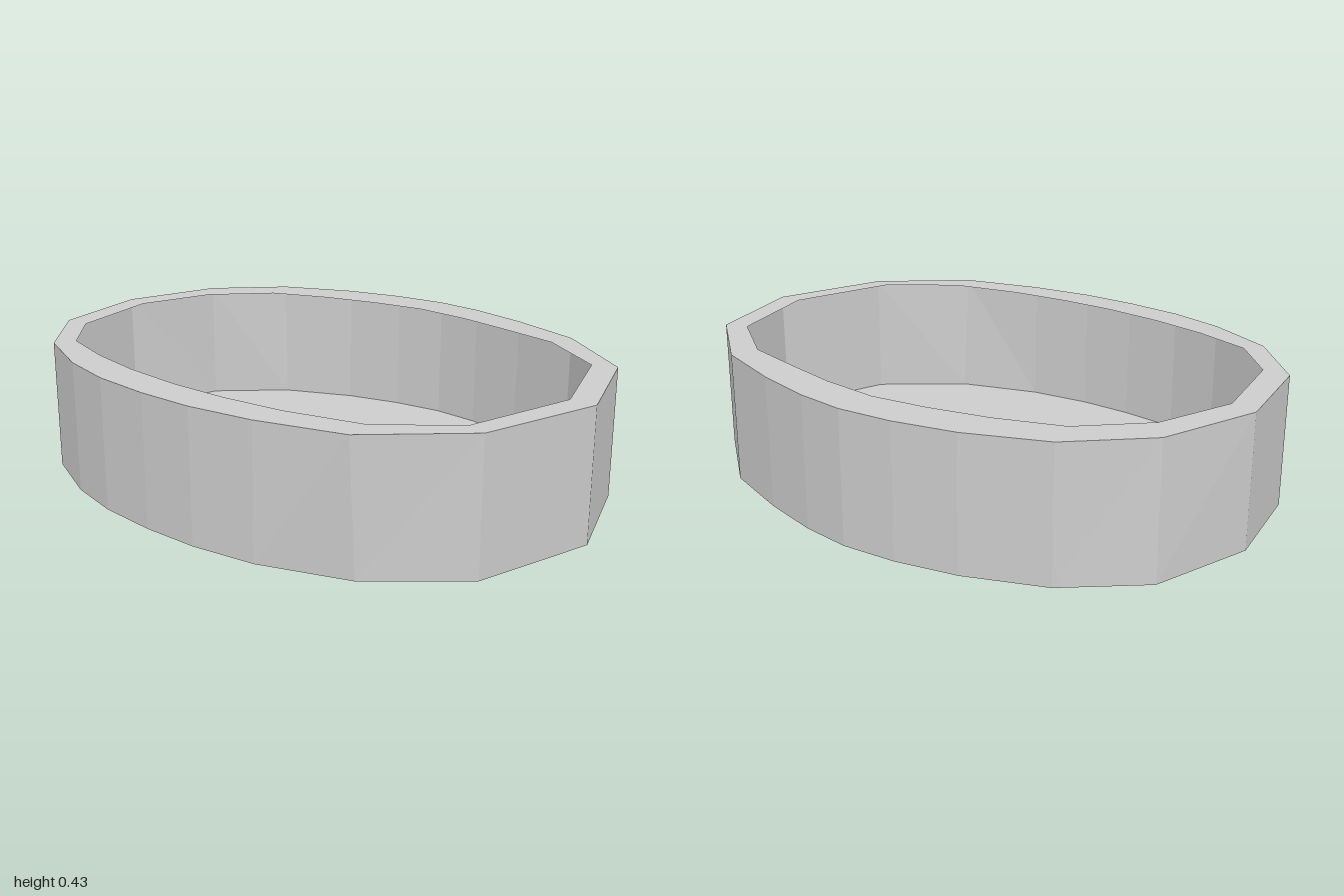
import * as THREE from 'three';

const HEIGHT = 0.434;

// Matching [x, z] outlines of the slightly irregular oval
const outer = [
  [-1, 0], [-0.91, -0.34], [-0.71, -0.555], [-0.465, -0.67], [-0.265, -0.725],
  [-0.08, -0.75], [0.09, -0.74], [0.3, -0.7], [0.56, -0.625], [0.855, -0.415],
  [1, -0.035], [0.9, 0.375], [0.64, 0.625], [0.36, 0.71], [0.14, 0.745],
  [-0.055, 0.75], [-0.265, 0.735], [-0.46, 0.69], [-0.7, 0.585], [-0.915, 0.36],
];
const inner = [
  [-0.91, 0.02], [-0.835, -0.25], [-0.665, -0.437], [-0.46, -0.522], [-0.265, -0.577],
  [-0.075, -0.612], [0.13, -0.602], [0.315, -0.572], [0.54, -0.532], [0.78, -0.382],
  [0.915, -0.03], [0.83, 0.355], [0.615, 0.53], [0.365, 0.595], [0.155, 0.62],
  [-0.045, 0.627], [-0.265, 0.612], [-0.465, 0.577], [-0.665, 0.518], [-0.825, 0.355],
];

// Lower outline: the same oval with two corners nudged
const low = { 1: [-0.918, -0.352], 12: [0.645, 0.603] };
const outerLow = outer.map((p, i) => low[i] ?? p);

// Flat-faced band joining outline a at height ya to outline b at height yb
function band(a, ya, b, yb) {
  const pos = [];
  a.forEach((p, i) => {
    const j = (i + 1) % a.length;
    const p0 = [p[0], ya, p[1]], p1 = [a[j][0], ya, a[j][1]];
    const q0 = [b[i][0], yb, b[i][1]], q1 = [b[j][0], yb, b[j][1]];
    pos.push(...p0, ...p1, ...q1, ...p0, ...q1, ...q0);
  });
  const g = new THREE.BufferGeometry();
  g.setAttribute('position', new THREE.Float32BufferAttribute(pos, 3));
  g.computeVertexNormals();
  return g;
}

export function createModel() {
  const group = new THREE.Group();
  group.name = 'ovalTray';
  const grey = new THREE.MeshStandardMaterial({ color: 0xcccccc, side: THREE.DoubleSide });
  grey.name = 'grey';

  const add = (name, geometry) => {
    const mesh = new THREE.Mesh(geometry, grey);
    mesh.name = name;
    group.add(mesh);
  };

  // Thin open shell: wall, flat inward flange and a base sheet
  add('wall', band(outer, HEIGHT, outerLow, 0));
  add('rimFlange', band(inner, HEIGHT, outer, HEIGHT));
  const baseShape = new THREE.Shape(outerLow.map(([x, z]) => new THREE.Vector2(x, z)));
  add('base', new THREE.ShapeGeometry(baseShape).rotateX(Math.PI / 2));
  return group;
}
